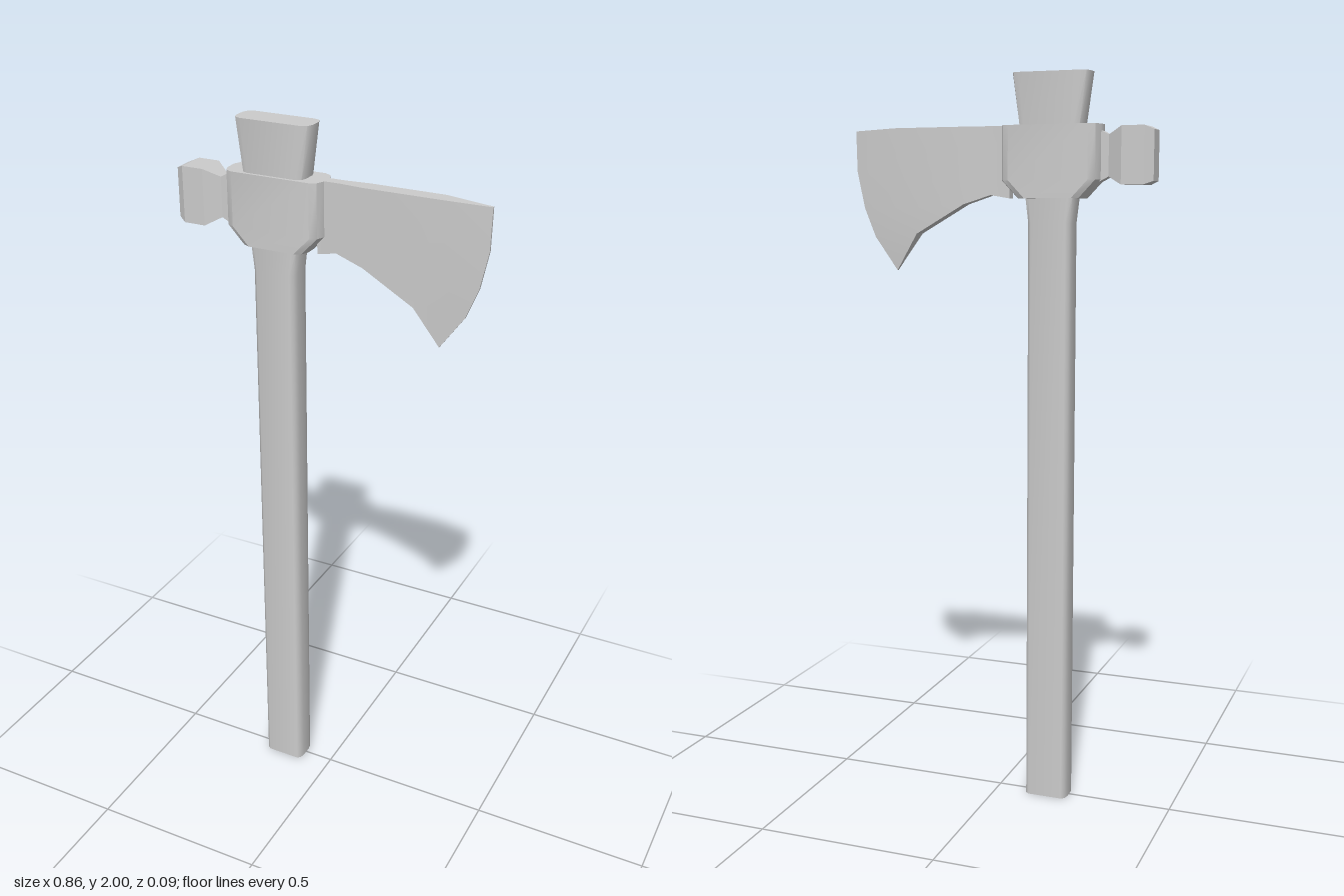
import * as THREE from 'three';
import { toCreasedNormals } from 'three/addons/utils/BufferGeometryUtils.js';

const material = new THREE.MeshStandardMaterial({ color: 0xcccccc });

// Skins a series of equal-length rings (counter-clockwise seen from the far end) and caps both ends.
function loft(name, rings, crease = 0.5) {
  const n = rings[0].length;
  const index = [];
  const quad = (a, b, c, d) => index.push(a, b, c, a, c, d);
  for (let i = 0; i < rings.length - 1; i++) {
    for (let j = 0; j < n; j++) {
      const k = (j + 1) % n;
      quad(i * n + j, i * n + k, (i + 1) * n + k, (i + 1) * n + j);
    }
  }
  const end = (rings.length - 1) * n;
  for (let j = 0; j < n / 2 - 1; j++) {
    quad(end + j, end + j + 1, end + n - 2 - j, end + n - 1 - j);
    quad(n - 1 - j, n - 2 - j, j + 1, j);
  }
  let geometry = new THREE.BufferGeometry();
  geometry.setAttribute('position', new THREE.Float32BufferAttribute(rings.flat(2), 3));
  geometry.setIndex(index);
  geometry = toCreasedNormals(geometry, crease);
  const mesh = new THREE.Mesh(geometry, material);
  mesh.name = name;
  return mesh;
}

// Horizontal ring made by mirroring one corner, given as [x, z] from the front to the side.
function cornerRing(cx, y, corner) {
  const back = [...corner].reverse();
  return [
    ...corner.map(([x, z]) => [cx + x, y, z]),
    ...back.map(([x, z]) => [cx + x, y, -z]),
    ...corner.map(([x, z]) => [cx - x, y, -z]),
    ...back.map(([x, z]) => [cx - x, y, z]),
  ];
}

export function createModel() {
  const group = new THREE.Group();
  group.name = 'hatchet';
  const cx = -0.147;

  // Handle, flaring through the head: [y, half width]
  const d = 0.039;
  const handle = [[0, 0.061], [1.61, 0.061], [1.68, 0.07], [1.865, 0.088], [2, 0.107]];
  group.add(loft('handle', handle.map(([y, w]) =>
    cornerRing(cx, y, [[0.79 * w, d], [0.94 * w, 0.82 * d], [w, 0.42 * d]])), 0.7));

  // Collar around the handle, narrowed at the bottom: [y, inset]
  const collar = [[1.675, 0.045], [1.722, 0], [1.865, 0]];
  group.add(loft('collar', collar.map(([y, inset]) =>
    cornerRing(cx, y, [[0.11 - inset, 0.047], [0.128 - inset, 0.038], [0.137 - inset, 0.017]]))));

  // Hammer poll and its neck: [x, bottom, top, half depth]
  const poll = [
    [-0.428, 1.718, 1.848, 0.027],
    [-0.405, 1.709, 1.858, 0.042],
    [-0.345, 1.709, 1.858, 0.042],
    [-0.305, 1.73, 1.837, 0.017],
    [-0.27, 1.712, 1.855, 0.017],
  ];
  group.add(loft('hammerPoll', poll.map(([x, b, t, z]) =>
    [[x, t, z], [x, b, z], [x, b, -z], [x, t, -z]]), 0.3));

  // Blade columns: [bottom x, bottom y, top x, half thickness]
  const rows = 5;
  const columns = [
    [-0.03, 1.675, -0.03, 0.015],
    [0.024, 1.684, 0.035, 0.015],
    [0.1, 1.66, 0.1, 0.021],
    [0.24, 1.58, 0.3, 0.021],
  ].map(([bx, by, tx, z]) => Array.from({ length: rows }, (_, i) => {
    const t = i / (rows - 1);
    return [tx + (bx - tx) * t, 1.865 + (by - 1.865) * t, z];
  }));
  // Curved cutting edge, top corner to lower tip
  columns.push([[0.428, 1.86], [0.426, 1.75], [0.405, 1.65], [0.373, 1.571], [0.307, 1.479]]
    .map(([x, y]) => [x, y, 0.003]));
  group.add(loft('blade', columns.map((front) =>
    [...front, ...front.map(([x, y, z]) => [x, y, -z]).reverse()]), 0.4));

  return group;
}
